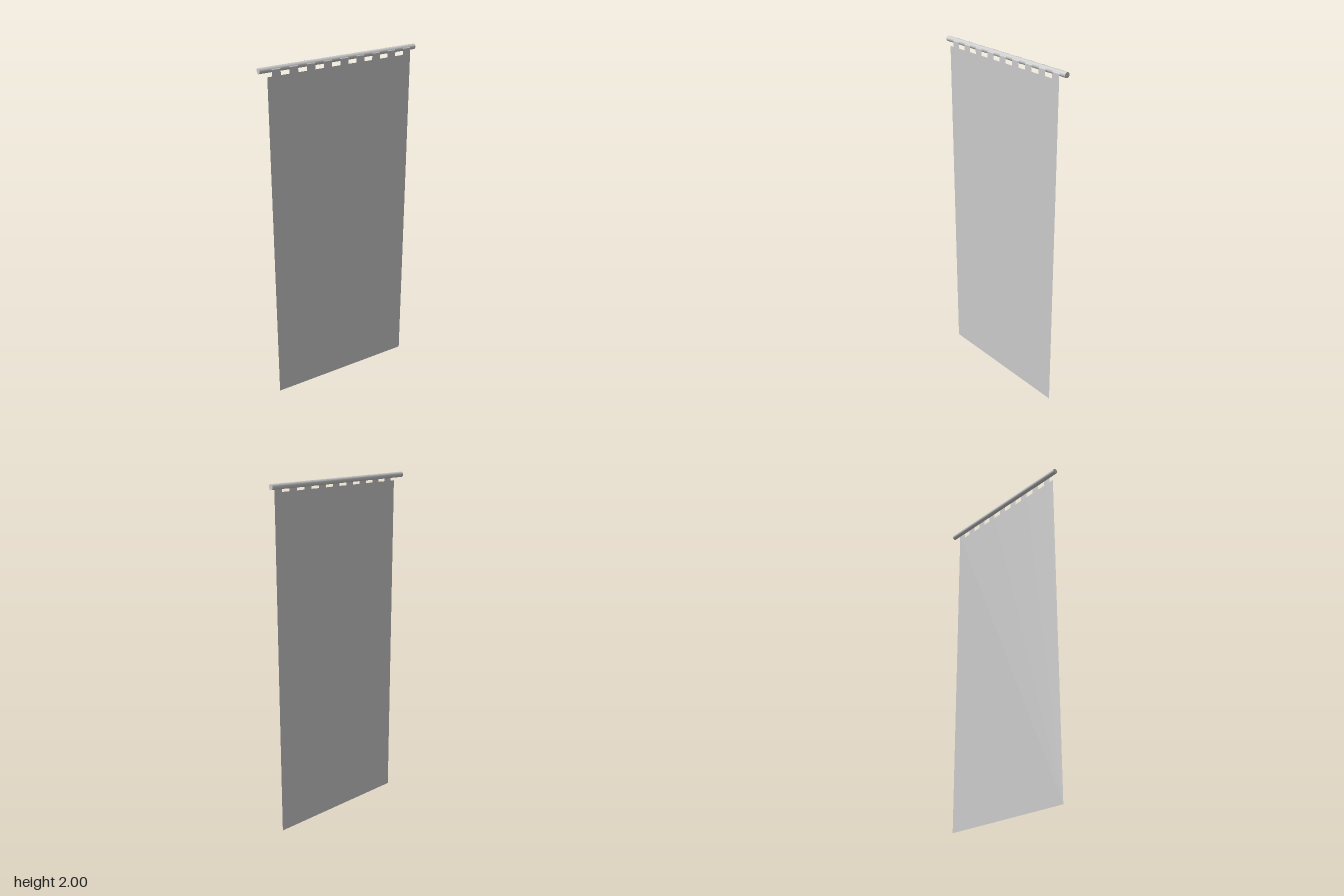
import * as THREE from 'three';

export function createModel() {
  const group = new THREE.Group();
  const metal = new THREE.MeshStandardMaterial({ color: 0xcccccc });
  const fabric = new THREE.MeshStandardMaterial({ color: 0xcccccc, side: THREE.DoubleSide });

  const clothZ = 0.0165, left = -0.44, right = 0.444;
  const clothTop = 1.952, tabTop = 1.985;
  const tabCount = 9, tabWidth = 0.05, firstTab = -0.413, tabStep = 0.1009;

  // horizontal rod
  const rodRadius = 0.0152;
  const rodGeo = new THREE.CylinderGeometry(rodRadius, rodRadius, 0.962, 24);
  rodGeo.rotateZ(Math.PI / 2);
  const rod = new THREE.Mesh(rodGeo, metal);
  rod.name = 'rod';
  rod.position.set(0, 2 - rodRadius, -0.0018);
  group.add(rod);

  // flat hanging cloth with a row of tabs cut along its top edge
  const outline = new THREE.Shape();
  outline.moveTo(left, 0);
  outline.lineTo(right, 0);
  for (let i = tabCount - 1; i >= 0; i--) {
    const x = firstTab + i * tabStep;
    const x1 = Math.min(x + tabWidth, right);
    if (x1 < right) outline.lineTo(x1, clothTop);
    outline.lineTo(x1, tabTop);
    outline.lineTo(x, tabTop);
    outline.lineTo(x, clothTop);
  }
  outline.lineTo(left, clothTop);
  const cloth = new THREE.Mesh(new THREE.ShapeGeometry(outline), fabric);
  cloth.name = 'cloth';
  cloth.position.z = clothZ;
  group.add(cloth);

  // tab ends folding back over the rod: [z, y] cross-section
  const fold = [[clothZ, tabTop], [0.004, 1.9992], [-0.004, 1.998], [-0.0102, 1.9985], [-0.0125, 1.992]];
  for (let i = 0; i < tabCount; i++) {
    const x0 = firstTab + i * tabStep;
    const x1 = Math.min(x0 + tabWidth, right);
    const geo = new THREE.PlaneGeometry(1, 1, 1, fold.length - 1);
    const pos = geo.attributes.position;
    fold.forEach(([z, y], k) => {
      pos.setXYZ(2 * k, x1, y, z);
      pos.setXYZ(2 * k + 1, x0, y, z);
    });
    geo.computeVertexNormals();
    const tab = new THREE.Mesh(geo, fabric);
    tab.name = 'tabFold' + (i + 1);
    group.add(tab);
  }
  return group;
}
